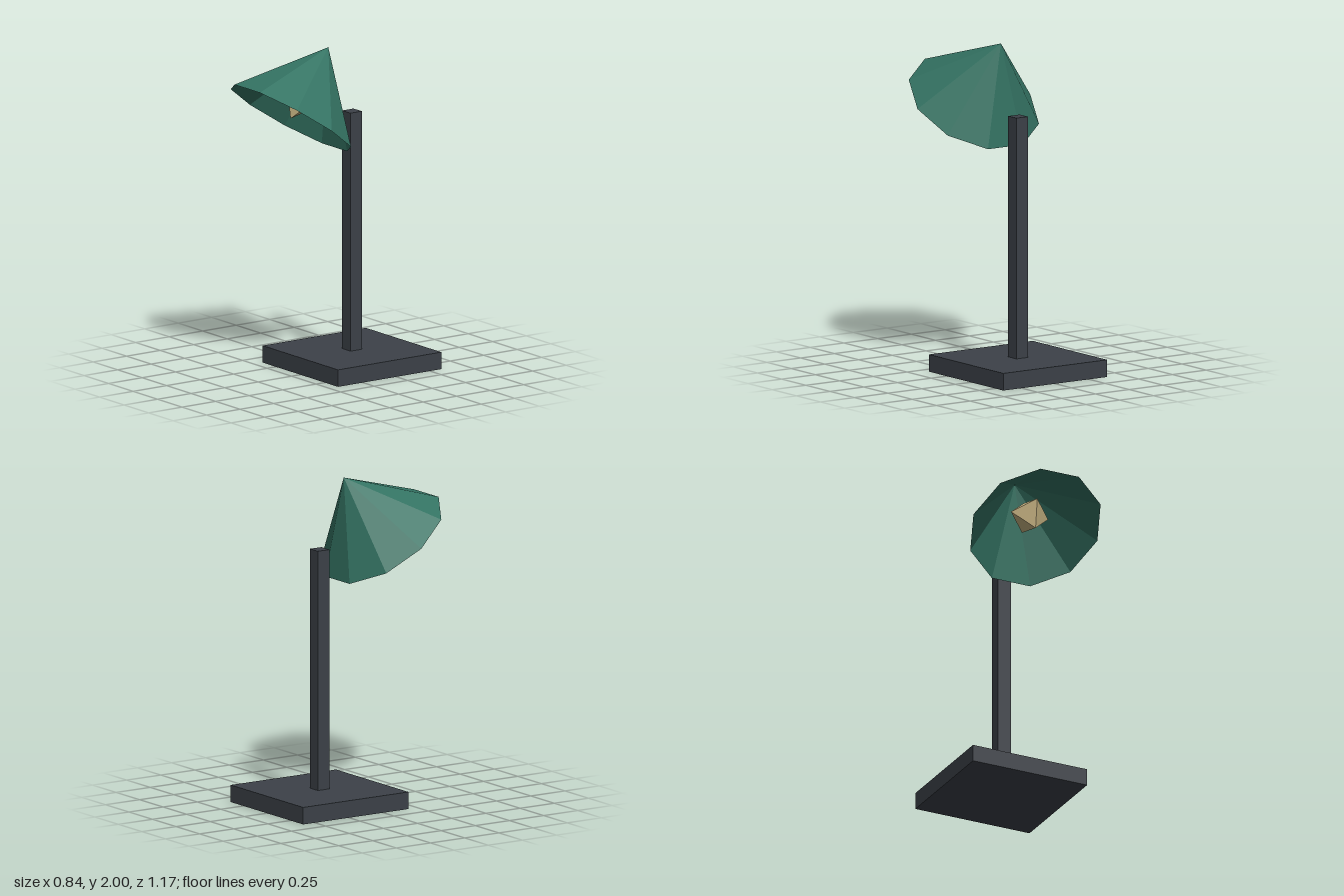
import * as THREE from 'three';

export function createModel() {
  const model = new THREE.Group();
  model.name = 'deskLamp';

  const material = (name, color, options = {}) => {
    const m = new THREE.MeshStandardMaterial({ color, flatShading: true, ...options });
    m.name = name;
    return m;
  };
  const charcoal = material('charcoal', 0x3c4148);
  const green = material('green', 0x347363, { side: THREE.DoubleSide });
  const cream = material('cream', 0xc8b482);

  const add = (parent, name, geometry, mat, x, y, z) => {
    const mesh = new THREE.Mesh(geometry, mat);
    mesh.name = name;
    mesh.position.set(x, y, z);
    parent.add(mesh);
    return mesh;
  };

  // Square base and upright post
  add(model, 'base', new THREE.BoxGeometry(0.77, 0.105, 0.77), charcoal, 0, 0.0525, -0.2);
  add(model, 'post', new THREE.BoxGeometry(0.085, 1.475, 0.085), charcoal, 0, 0.8425, -0.2);

  // Lamp head, origin at the centre of the shade's rim, tipped forward
  const head = new THREE.Group();
  head.name = 'lampHead';
  head.position.set(0, 1.601, 0.256);
  head.rotation.x = THREE.MathUtils.degToRad(-35);
  model.add(head);

  // Open ten-sided shade with a flat side facing forward
  const shadeHeight = 0.487;
  const shade = new THREE.ConeGeometry(0.418, shadeHeight, 10, 1, true);
  shade.rotateY(Math.PI / 10);
  add(head, 'shade', shade, green, 0, shadeHeight / 2, 0);

  // Eight-faced bulb, slightly longer along the shade's axis
  const bulb = new THREE.OctahedronGeometry(0.125);
  bulb.scale(1, 1.12, 1);
  add(head, 'bulb', bulb, cream, 0, 0.136, 0);

  return model;
}
